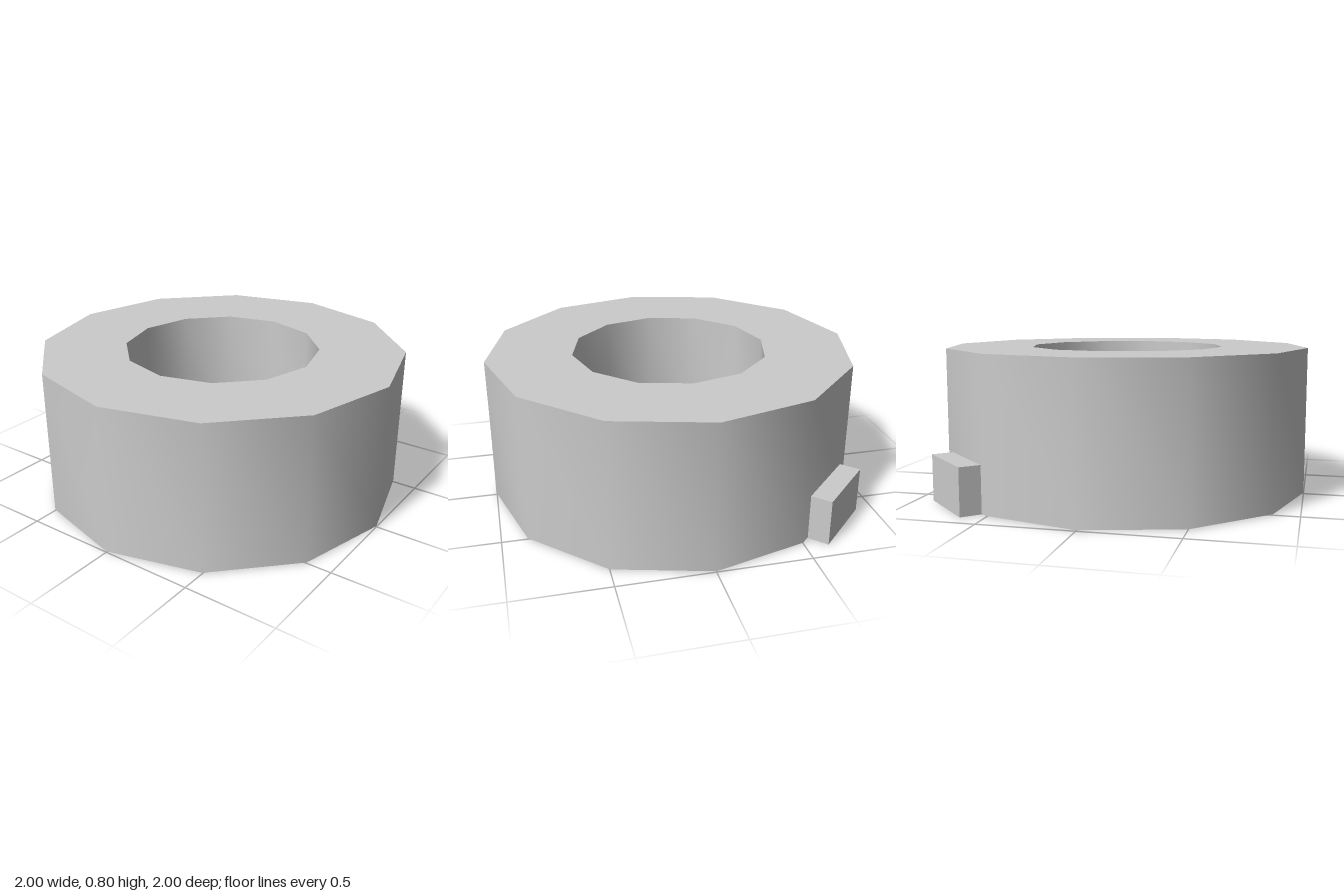
import * as THREE from 'three';
import { toCreasedNormals } from 'three/addons/utils/BufferGeometryUtils.js';

const SIDES = 12;

export function createModel() {
  const group = new THREE.Group();
  const material = new THREE.MeshStandardMaterial({ color: 0xcccccc });

  function add(name, geometry, x = 0, y = 0, z = 0) {
    const mesh = new THREE.Mesh(geometry, material);
    mesh.name = name;
    mesh.position.set(x, y, z);
    group.add(mesh);
    return mesh;
  }

  // Twelve-sided body: wide well from above, narrower bore through its floor
  const profile = [
    [0.3, 0.005], [1, 0.005], [1, 0.8], [0.535, 0.8],
    [0.535, 0.2], [0.3, 0.2], [0.3, 0.005],
  ].map(([r, y]) => new THREE.Vector2(r, y));
  add('body', toCreasedNormals(new THREE.LatheGeometry(profile, SIDES), 0.7));

  // Plate closing the bore, set slightly above the underside
  add('basePlate', new THREE.CylinderGeometry(0.3, 0.3, 0.05, SIDES), 0, 0.075, 0);

  // Smooth ball resting on the plate
  add('ball', new THREE.SphereGeometry(0.2, 32, 16), 0, 0.3, 0);

  // Block on the back left of the rim
  const reach = 0.955 * Math.SQRT1_2;
  const tab = add('sideTab', new THREE.BoxGeometry(0.4, 0.25, 0.25), reach, 0.125, -reach);
  tab.rotation.y = -Math.PI / 4;

  return group;
}
